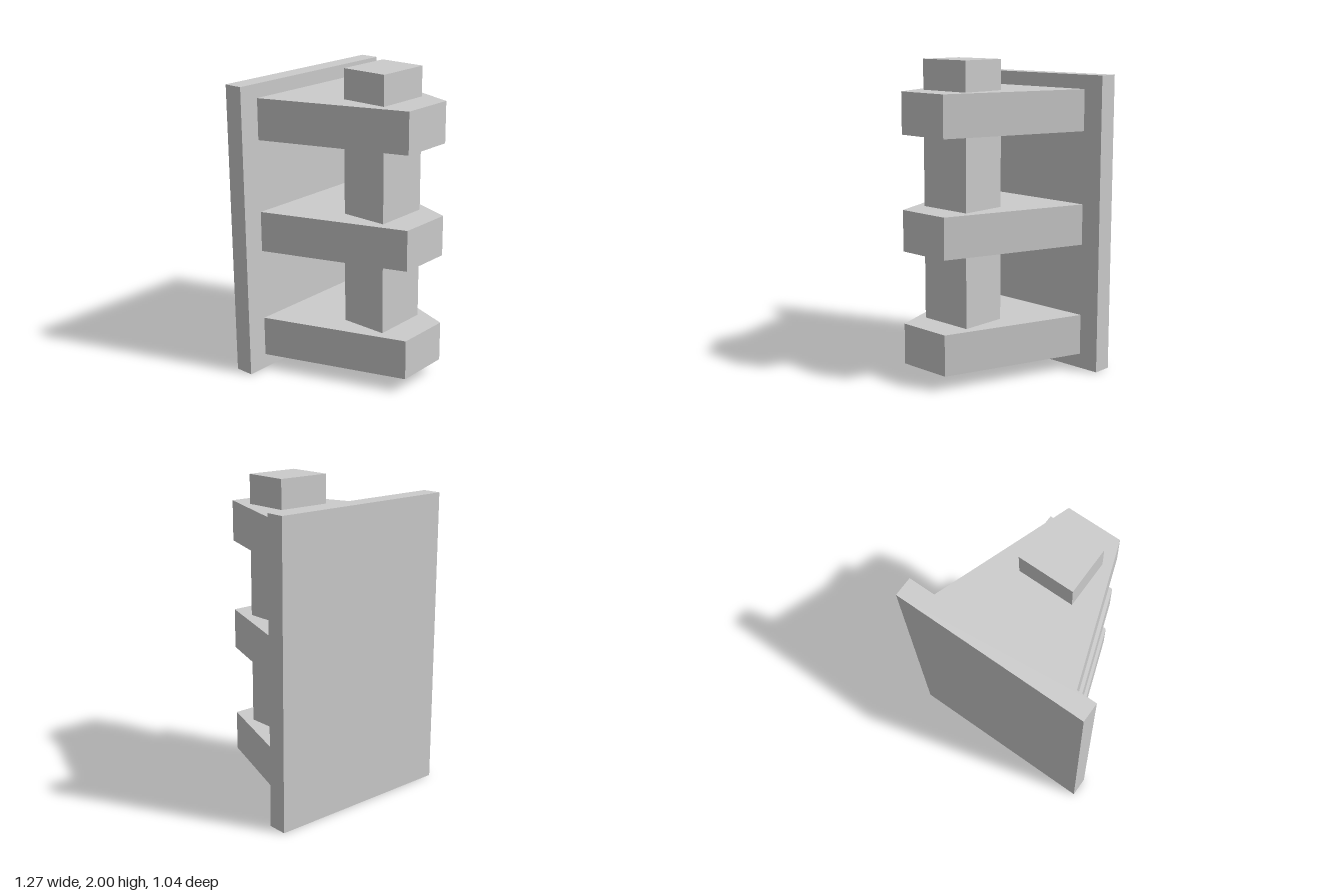
import * as THREE from 'three';

export function createModel() {
  const group = new THREE.Group();
  const material = new THREE.MeshStandardMaterial({ color: 0xcccccc, flatShading: true });

  const add = (name, geometry, x, y, z) => {
    const mesh = new THREE.Mesh(geometry, material);
    mesh.name = name;
    mesh.position.set(x, y, z);
    group.add(mesh);
  };

  // Upright mounting plate at the back
  add('backPlate', new THREE.BoxGeometry(1.27, 1.9, 0.125), 0, 0.95, -0.4575);

  // Three identical tapered brackets, wide at the plate and narrow at the front
  const outline = new THREE.Shape([
    new THREE.Vector2(-0.18, -0.52),
    new THREE.Vector2(0.18, -0.52),
    new THREE.Vector2(0.5, 0.395),
    new THREE.Vector2(-0.5, 0.395),
  ]);
  const bracket = new THREE.ExtrudeGeometry(outline, { depth: 0.262, bevelEnabled: false });
  bracket.rotateX(-Math.PI / 2);
  ['lowerBracket', 'middleBracket', 'upperBracket'].forEach((name, i) => {
    add(name, bracket, 0, 0.095 + i * 0.727, 0);
  });

  // Square post running through the brackets, its foot seated in the lowest one
  const foot = 0.12, top = 2;
  add('post', new THREE.BoxGeometry(0.365, top - foot, 0.308), 0, (top + foot) / 2, 0.181);

  return group;
}
